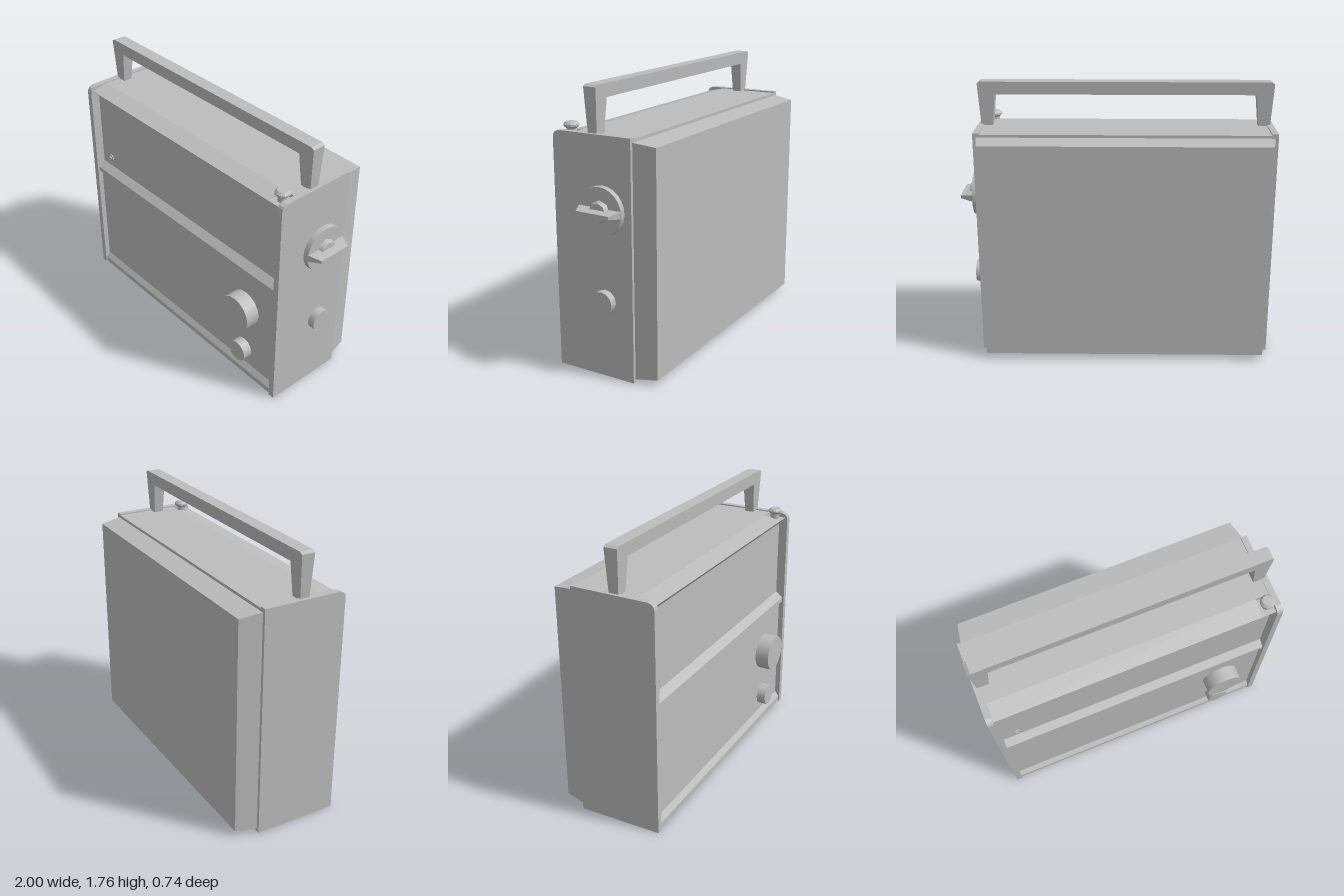
import * as THREE from 'three';

export function createModel() {
  const model = new THREE.Group();
  model.name = 'portableRadio';
  const grey = new THREE.MeshStandardMaterial({ color: 0xbcbcbc });
  grey.name = 'plain grey';

  const add = (name, geometry, x = 0, y = 0, z = 0, parent = model) => {
    const mesh = new THREE.Mesh(geometry, grey);
    mesh.name = name;
    mesh.position.set(x, y, z);
    parent.add(mesh);
    return mesh;
  };

  // Sweep a [z, y] side profile from x0 to x1
  const sweep = (points, x0, x1) => {
    const shape = new THREE.Shape(points.map(([z, y]) => new THREE.Vector2(-z, y)));
    return new THREE.ExtrudeGeometry(shape, { depth: x1 - x0, bevelEnabled: false })
      .rotateY(Math.PI / 2).translate(x0, 0, 0);
  };

  // Side panels with a rounded upper front corner
  const side = [[-0.23, 0], [0.31, 0], [0.31, 1.44], [0.305, 1.46], [0.295, 1.473], [0.27, 1.483], [-0.23, 1.487]];
  add('rightSidePanel', sweep(side, -1, -0.96));
  add('leftSidePanel', sweep(side, 0.85, 0.89));

  // Case between the sides: bottom lip, lower panel, ridge, upper panel, overhang
  const front = [[-0.23, 0.004], [0.302, 0.004], [0.302, 0.04], [0.275, 0.075], [0.275, 0.82],
    [0.297, 0.82], [0.297, 0.85], [0.25, 0.89], [0.25, 1.405], [0.29, 1.445]];
  add('caseBody', sweep([...front, [0.295, 1.453], [0.18, 1.478], [-0.23, 1.478]], -0.96, 0.76));
  add('caseBodyNotched', sweep([...front, [0.295, 1.453], [0.18, 1.453], [0.18, 1.478], [-0.23, 1.478]], 0.76, 0.85));

  // Back cover, narrowing to the rear
  const cover = new THREE.BoxGeometry(1.85, 1.44, 0.14).toNonIndexed();
  const cp = cover.attributes.position;
  for (let i = 0; i < cp.count; i++) {
    if (cp.getZ(i) < 0) cp.setXY(i, cp.getX(i) * 0.974, cp.getY(i) * 0.976);
  }
  cover.computeVertexNormals();
  add('backCover', cover, -0.055, 0.74, -0.3);

  // Carrying handle, slimmer at the feet
  const outline = [[-0.978, 1.46], [-0.995, 1.75], [-0.975, 1.762], [0.865, 1.762], [0.885, 1.75], [0.868, 1.46],
    [0.797, 1.46], [0.775, 1.68], [-0.885, 1.68], [-0.907, 1.46]];
  const handle = new THREE.ExtrudeGeometry(
    new THREE.Shape(outline.map(([x, y]) => new THREE.Vector2(x, y))), { depth: 1, bevelEnabled: false });
  const hp = handle.attributes.position;
  for (let i = 0; i < hp.count; i++) {
    const t = (hp.getY(i) - 1.46) / 0.3;
    hp.setZ(i, 0.042 + (hp.getZ(i) - 0.5) * (0.06 + 0.026 * t));
  }
  handle.computeVertexNormals();
  add('handle', handle);

  // Round knobs on the front
  const frontKnob = (name, x, y, r, z0, z1, sides) =>
    add(name, new THREE.CylinderGeometry(r, r, z1 - z0, sides).rotateX(Math.PI / 2), x, y, (z0 + z1) / 2);
  frontKnob('tuningKnob', 0.575, 0.537, 0.123, 0.265, 0.37, 16);
  frontKnob('volumeKnob', 0.57, 0.195, 0.072, 0.265, 0.337, 12);
  frontKnob('socketRing', -0.865, 0.955, 0.028, 0.24, 0.256, 14);
  frontKnob('socketPin', -0.865, 0.955, 0.012, 0.24, 0.264, 10);

  // Knob and selector dial on the left side
  const sideKnob = (name, y, z, r0, r1, x0, x1, sides) =>
    add(name, new THREE.CylinderGeometry(r1, r0, x1 - x0, sides).rotateZ(-Math.PI / 2), (x0 + x1) / 2, y, z);
  sideKnob('sideKnob', 0.487, -0.04, 0.073, 0.073, 0.88, 0.937, 12);
  sideKnob('selectorDial', 1.045, -0.035, 0.15, 0.147, 0.88, 0.922, 24);
  sideKnob('selectorHub', 1.045, -0.035, 0.072, 0.058, 0.915, 0.95, 8);

  // Wedge grip across the dial
  const grip = new THREE.BoxGeometry(0.085, 0.046, 0.296).toNonIndexed();
  const gp = grip.attributes.position;
  for (let i = 0; i < gp.count; i++) {
    if (gp.getX(i) > 0) gp.setXYZ(i, gp.getX(i), gp.getY(i) * 0.4, gp.getZ(i) * 0.76);
  }
  grip.computeVertexNormals();
  add('selectorGrip', grip, 0.9575, 1.045, -0.035);

  // Push button on the top
  const button = [[0, 1.44], [0.03, 1.44], [0.03, 1.485], [0.047, 1.5], [0.047, 1.51], [0.034, 1.524], [0, 1.524]];
  const buttonGeometry = new THREE.LatheGeometry(button.map(([r, y]) => new THREE.Vector2(r, y)), 12).toNonIndexed();
  buttonGeometry.computeVertexNormals();
  add('topButton', buttonGeometry, 0.812, 0, 0.232);

  return model;
}
